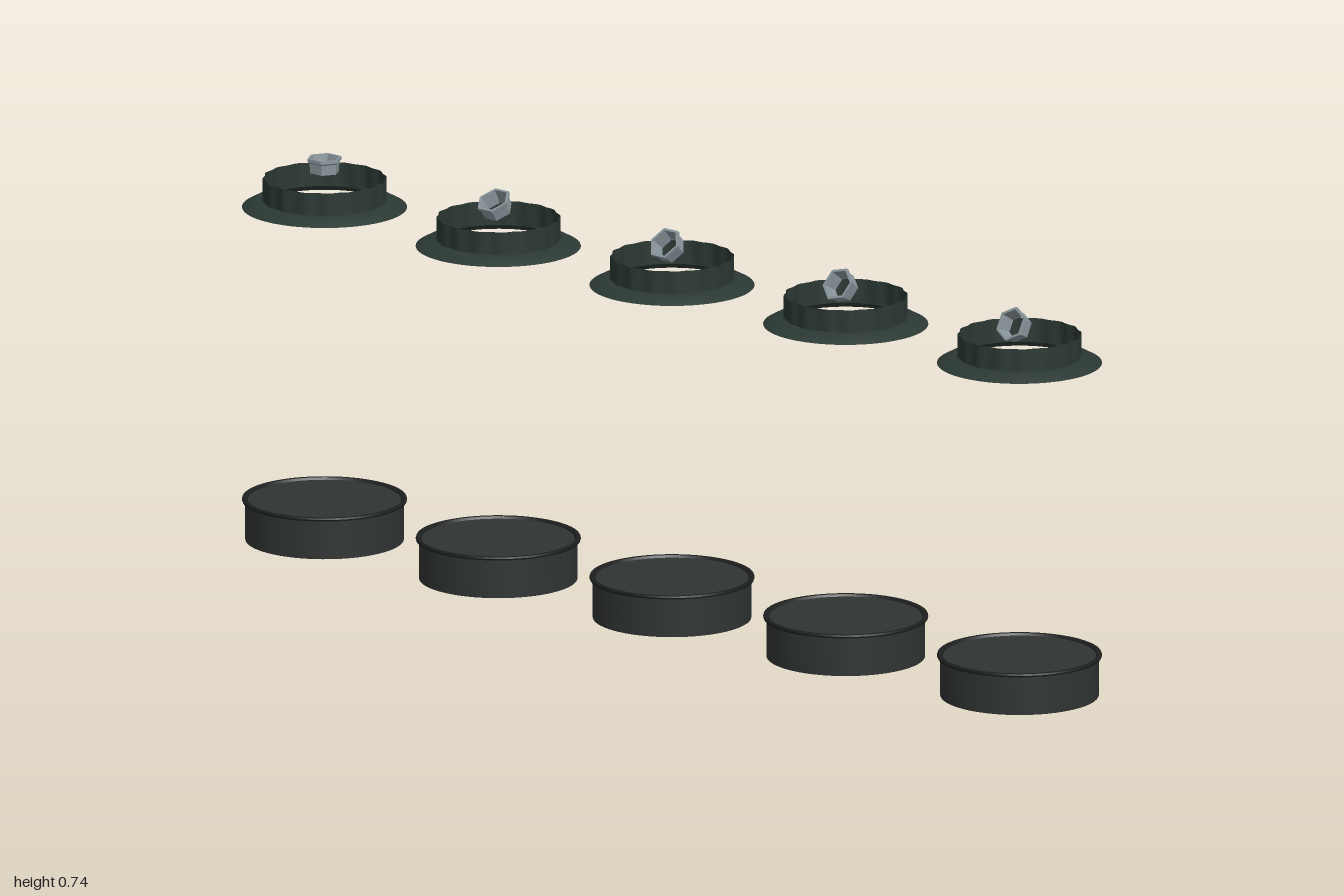
import * as THREE from 'three';
import { toCreasedNormals } from 'three/addons/utils/BufferGeometryUtils.js';

const mat = (color, flatShading = false) =>
  new THREE.MeshStandardMaterial({ color, flatShading, side: THREE.DoubleSide });
const panMat = mat(0x2f3432);
const rimMat = mat(0x1d201f);
const ringMat = mat(0x2b3833);
const nutMat = mat(0x8a969c, true);

// revolve [radius, height] pairs, keeping profile corners sharp
function turned(name, profile, material, segments = 64) {
  const points = profile.map(([r, y]) => new THREE.Vector2(r, y));
  const geometry = toCreasedNormals(new THREE.LatheGeometry(points, segments), 0.5);
  const mesh = new THREE.Mesh(geometry, material);
  mesh.name = name;
  return mesh;
}

// shallow round dish with a thin raised rim around its top
function makePan() {
  const pan = new THREE.Group();
  pan.name = 'pan';
  pan.add(
    turned('panBody', [[0, 0], [0.146, 0], [0.146, 0.075], [0, 0.075]], panMat),
    turned('panRim', [[0.141, 0.074], [0.146, 0.073], [0.151, 0.073], [0.152, 0.076],
      [0.151, 0.079], [0.144, 0.079], [0.141, 0.075]], rimMat)
  );
  return pan;
}

// open collar with gently fluted wall and a sloping flange
function makeCollar() {
  const collar = new THREE.Group();
  collar.name = 'collar';
  const wallGeometry = new THREE.CylinderGeometry(0.1125, 0.1125, 0.045, 128, 1, true);
  const p = wallGeometry.attributes.position;
  for (let i = 0; i < p.count; i++) {
    const angle = Math.atan2(p.getZ(i), p.getX(i));
    const k = 1 + 0.016 * Math.cos(16 * angle);
    p.setXYZ(i, p.getX(i) * k, p.getY(i), p.getZ(i) * k);
  }
  wallGeometry.computeVertexNormals();
  const wall = new THREE.Mesh(wallGeometry, ringMat);
  wall.name = 'collarWall';
  wall.position.y = 0.665;
  const flange = turned('collarFlange', [[0.112, 0.642], [0.122, 0.632], [0.152, 0.632],
    [0.128, 0.645], [0.112, 0.645]], ringMat);
  collar.add(wall, flange);
  return collar;
}

// small flared six-sided sleeve, hinged at its base
function makeNut(tilt, spin) {
  const profile = [[0.023, 0], [0.028, 0], [0.029, 0.019], [0.033, 0.022],
    [0.033, 0.028], [0.028, 0.028], [0.023, 0]];
  const sleeve = turned('hexSleeve', profile, nutMat, 6);
  sleeve.rotation.y = THREE.MathUtils.degToRad(30 + spin);
  const nut = new THREE.Group();
  nut.name = 'hexNut';
  nut.add(sleeve);
  nut.position.y = 0.698;
  nut.rotation.x = THREE.MathUtils.degToRad(tilt);
  return nut;
}

export function createModel() {
  const model = new THREE.Group();
  model.name = 'panRow';
  const tilts = [0, 30, 50, 58, 62];
  const spins = [0, 0, 0, 15, 30];
  tilts.forEach((tilt, i) => {
    const set = new THREE.Group();
    set.name = 'panSet';
    set.position.x = (i - 2) * 0.424;
    set.add(makePan(), makeCollar(), makeNut(tilt, 60 + spins[i]));
    model.add(set);
  });
  return model;
}
